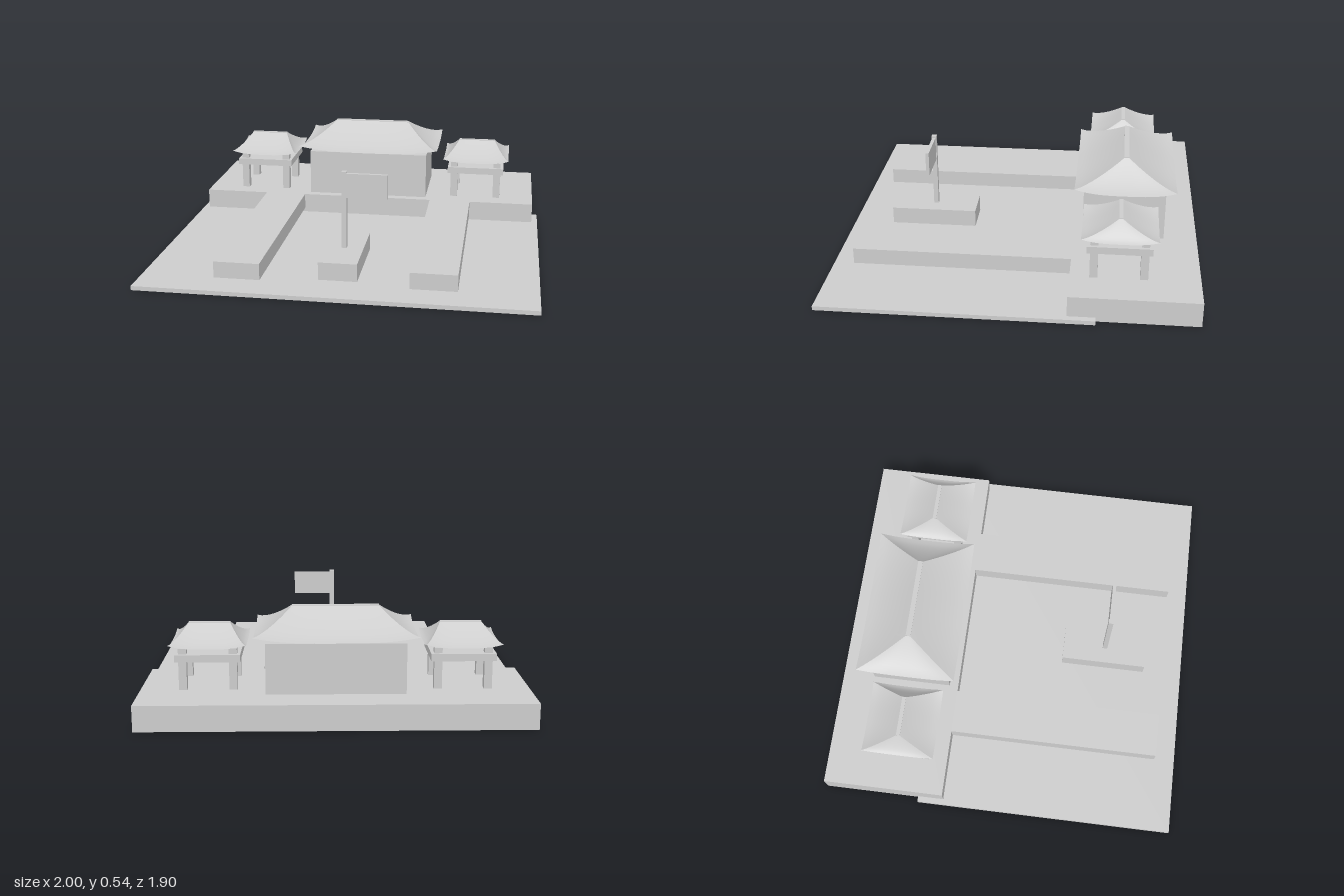
import * as THREE from 'three';

export function createModel() {
  const root = new THREE.Group();
  const stone = new THREE.MeshStandardMaterial({ color: 0xcccccc, side: THREE.DoubleSide });
  stone.name = 'pale grey';

  // Box given by its [min, max] range on each axis
  function box(parent, name, x, y, z) {
    const mesh = new THREE.Mesh(new THREE.BoxGeometry(x[1] - x[0], y[1] - y[0], z[1] - z[0]), stone);
    mesh.position.set((x[0] + x[1]) / 2, (y[0] + y[1]) / 2, (z[0] + z[1]) / 2);
    mesh.name = name;
    parent.add(mesh);
  }

  // One concave roof slope facing +z, from a curved eave up to the ridge
  function slope(eaveHalf, ridgeHalf, eaveDepth, ridgeDepth, eaveY, ridgeY, lift) {
    const geo = new THREE.PlaneGeometry(2, 1, 16, 8);
    const pos = geo.attributes.position;
    for (let i = 0; i < pos.count; i++) {
      const s = pos.getX(i);
      const t = pos.getY(i) + 0.5;
      const y = eaveY + (ridgeY - eaveY) * Math.pow(t, 1.45) + lift * Math.pow(Math.abs(s), 3) * (1 - t);
      pos.setXYZ(i, s * THREE.MathUtils.lerp(eaveHalf, ridgeHalf, t), y,
        THREE.MathUtils.lerp(eaveDepth, ridgeDepth, t));
    }
    geo.computeVertexNormals();
    return geo;
  }

  // Hipped roof with upturned corners and a ridge beam
  function roof(name, cx, cz, hx, hz, ridge, ridgeZ, eaveY, ridgeY, lift) {
    const g = new THREE.Group();
    g.name = name;
    const long = slope(hx, ridge, hz, ridgeZ, eaveY, ridgeY, lift);
    const short = slope(hz, ridgeZ, hx, ridge, eaveY, ridgeY, lift);
    for (let i = 0; i < 4; i++) {
      const mesh = new THREE.Mesh(i % 2 ? short : long, stone);
      mesh.rotation.y = i * Math.PI / 2;
      mesh.name = 'roofSlope';
      g.add(mesh);
    }
    box(g, 'ridgeBeam', [-ridge, ridge], [ridgeY - 0.012, ridgeY + 0.003], [-ridgeZ, ridgeZ]);
    g.position.set(cx, 0, cz);
    root.add(g);
  }

  // Ground and raised terrace
  box(root, 'groundSlab', [-1, 1], [0, 0.022], [-0.44, 0.95]);
  box(root, 'terrace', [-0.97, 0.967], [0, 0.13], [-0.95, -0.3]);

  // Long raised walkways on both sides
  for (const s of [-1, 1]) {
    const cx = s * 0.49 - 0.002;
    box(root, 'walkway', [cx - 0.117, cx + 0.117], [0.045, 0.13], [-0.3, 0.835]);
  }

  // Flag on its pedestal
  box(root, 'flagPedestal', [-0.1, 0.098], [0.022, 0.115], [0.265, 0.733]);
  box(root, 'flagPole', [-0.016, 0.01], [0.115, 0.525], [0.487, 0.513]);
  box(root, 'flag', [0.01, 0.22], [0.385, 0.515], [0.491, 0.509]);

  // Main hall
  box(root, 'hallBody', [-0.348, 0.342], [0.13, 0.385], [-0.776, -0.348]);
  roof('hallRoof', -0.003, -0.565, 0.405, 0.265, 0.218, 0.013, 0.398, 0.532, 0.028);

  // Side pavilions
  for (const s of [-1, 1]) {
    const cx = s * 0.633 - 0.003, cz = -0.544;
    const pavilion = new THREE.Group();
    pavilion.name = s > 0 ? 'leftPavilion' : 'rightPavilion';
    for (const i of [-1, 1]) for (const j of [-1, 1]) {
      const x = cx + i * 0.125, z = cz + j * 0.125;
      box(pavilion, 'column', [x - 0.02, x + 0.02], [0.13, 0.34], [z - 0.02, z + 0.02]);
    }
    box(pavilion, 'beamSlab', [cx - 0.162, cx + 0.162], [0.275, 0.312], [cz - 0.162, cz + 0.162]);
    root.add(pavilion);
    roof('pavilionRoof', cx, cz, 0.19, 0.19, 0.105, 0.01, 0.347, 0.442, 0.019);
  }
  return root;
}
